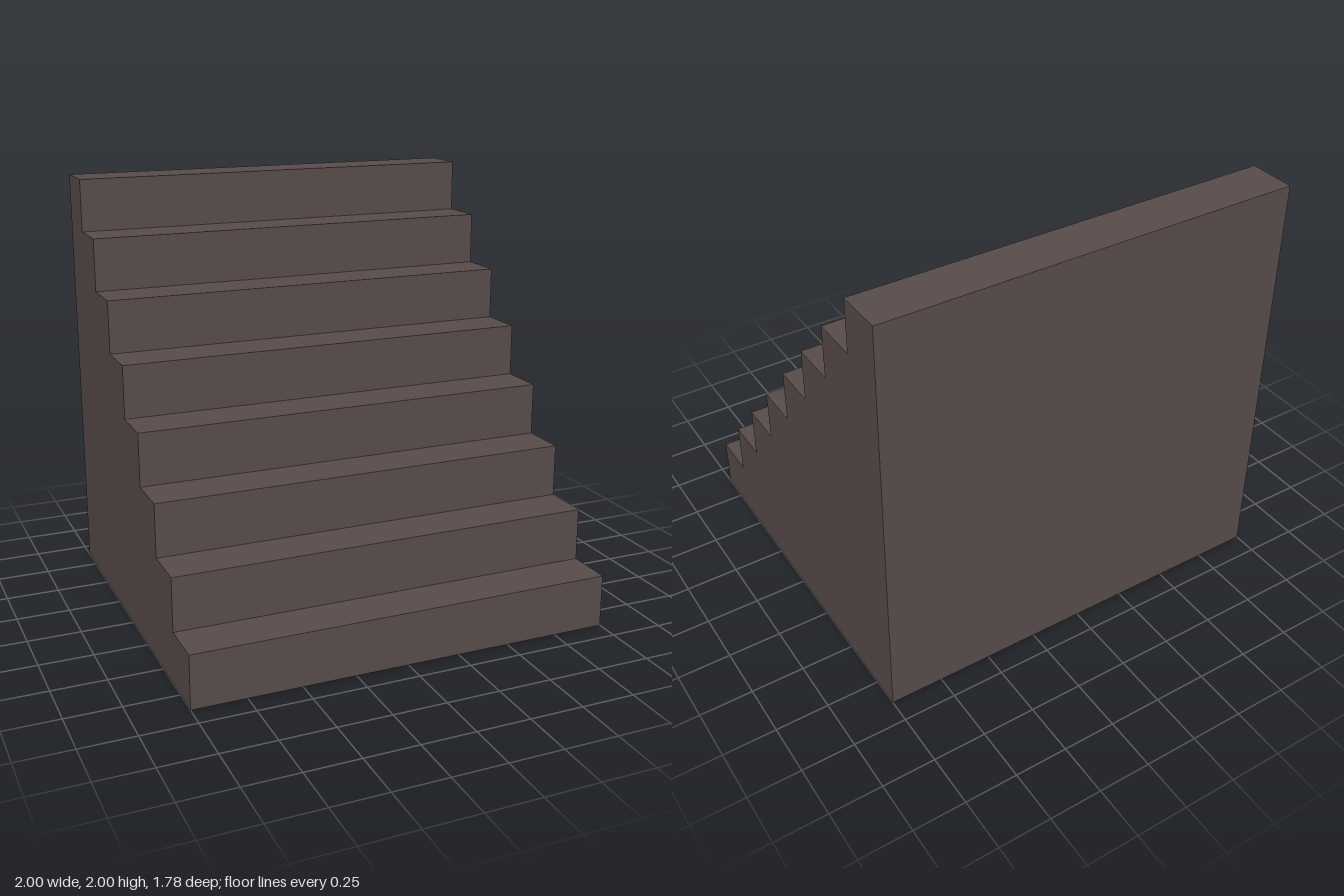
import * as THREE from 'three';

const STEPS = 8;
const WIDTH = 2;
const RISE = 0.25;
const TREAD = 2 / 9;

export function createModel() {
  const group = new THREE.Group();
  group.name = 'staircase';

  const stone = new THREE.MeshStandardMaterial({ color: 0x584b4a });
  stone.name = 'brown stone';

  // Side profile: shape x runs towards the front, y runs up
  const half = (STEPS * TREAD) / 2;
  const profile = new THREE.Shape();
  profile.moveTo(-half, 0);
  profile.lineTo(half, 0);
  for (let i = 0; i < STEPS; i++) {
    const top = (i + 1) * RISE;
    profile.lineTo(half - i * TREAD, top); // riser
    profile.lineTo(half - (i + 1) * TREAD, top); // tread
  }
  profile.closePath();

  // Solid flight of steps, extruded across the width
  const geometry = new THREE.ExtrudeGeometry(profile, { depth: WIDTH, bevelEnabled: false });
  geometry.translate(0, 0, -WIDTH / 2);
  geometry.rotateY(-Math.PI / 2);

  const steps = new THREE.Mesh(geometry, stone);
  steps.name = 'steps';
  group.add(steps);
  return group;
}
